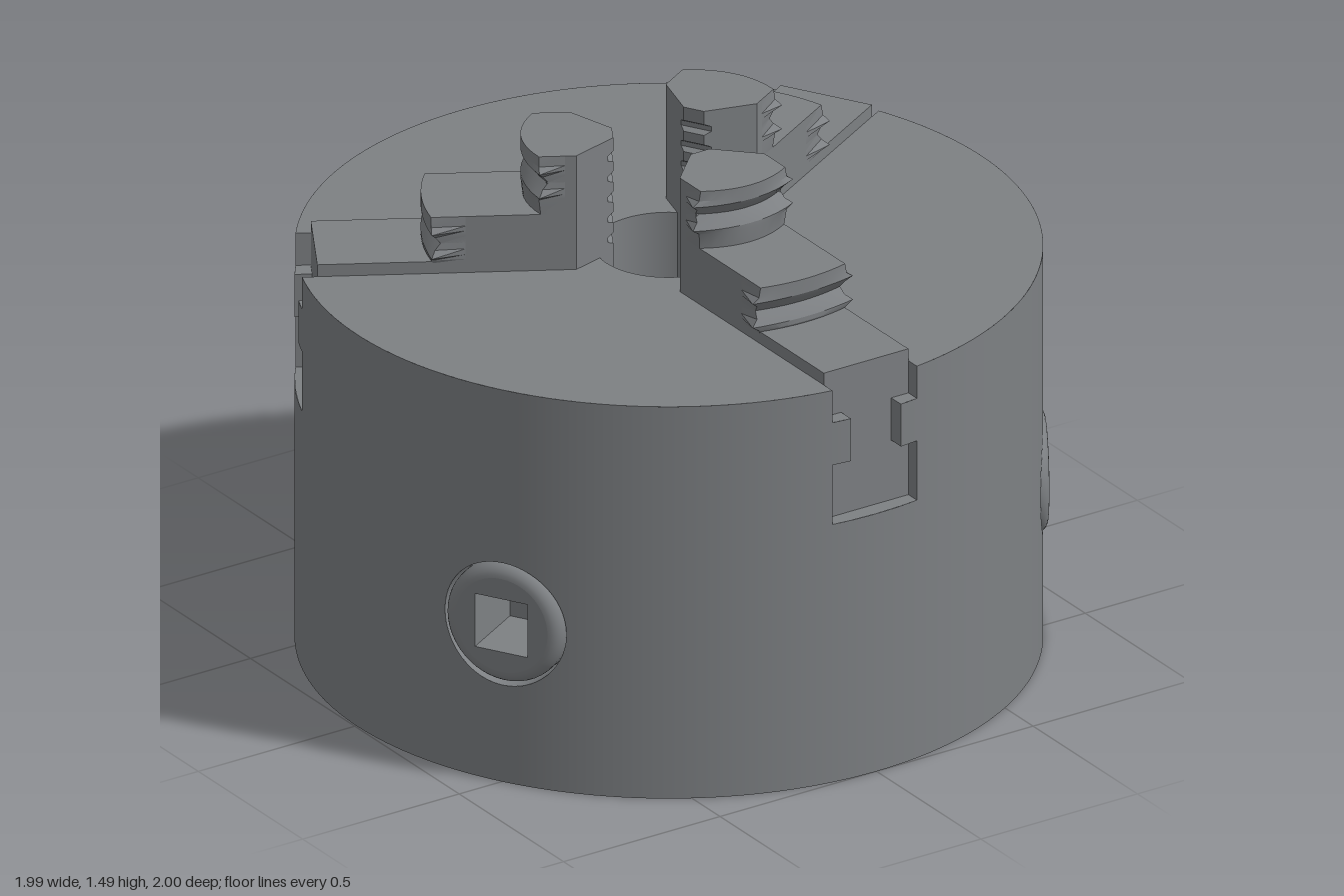
import * as THREE from 'three';
import { toCreasedNormals } from 'three/addons/utils/BufferGeometryUtils.js';

const R = 0.995, H = 1.155, BORE = 0.2;        // body
const HW = 0.135, NECK = 0.08;                 // slot half widths
const S0 = 0.76, S1 = 0.935, S2 = 1.06;        // slot heights
const PY = 0.465, PR = 0.18;                   // pinion pocket
const THIRD = Math.PI * 2 / 3;

const steel = new THREE.MeshStandardMaterial({ color: 0x7d8083, side: THREE.DoubleSide });
steel.name = 'steel grey';

function mesh(geometry, name) {
  const m = new THREE.Mesh(geometry, steel);
  m.name = name;
  return m;
}

function fromTriangles(pos) {
  const g = new THREE.BufferGeometry();
  g.setAttribute('position', new THREE.Float32BufferAttribute(pos, 3));
  g.computeVertexNormals();
  return g;
}

const quad = (out, a, b, c, d) => out.push(...a, ...b, ...c, ...a, ...c, ...d);
const onBody = x => Math.sqrt(R * R - x * x);

// Stack of convex plan outlines [x, z], one for each height, closed by caps
function loft(rows) {
  const pos = [], n = rows[0].pts.length;
  const at = (r, i) => [r.pts[i % n][0], r.y, r.pts[i % n][1]];
  for (let k = 0; k < rows.length - 1; k++)
    for (let i = 0; i < n; i++)
      quad(pos, at(rows[k], i), at(rows[k], i + 1), at(rows[k + 1], i + 1), at(rows[k + 1], i));
  const low = rows[0], top = rows[rows.length - 1];
  for (let i = 1; i < n - 1; i++) {
    pos.push(...at(low, 0), ...at(low, i + 1), ...at(low, i));
    pos.push(...at(top, 0), ...at(top, i), ...at(top, i + 1));
  }
  return toCreasedNormals(fromTriangles(pos), 0.4);
}

// Inner walls of an opening: outline [x, y] swept along z
function liner(points, zIn, zOut) {
  const pos = [];
  for (let i = 0; i < points.length - 1; i++) {
    const [a, b] = [points[i], points[i + 1]];
    quad(pos, [...a, zIn], [...b, zIn], [...b, zOut(b[0])], [...a, zOut(a[0])]);
  }
  return toCreasedNormals(fromTriangles(pos), 0.4);
}

// One third of the outer wall, with the slot in the middle and half a pocket at each end
function wallGeometry() {
  const pos = [], nor = [], end = THIRD / 2;
  const aN = Math.asin(NECK / R), aS = Math.asin(HW / R), aH = end - Math.asin(PR / R);
  const h = a => Math.sqrt(Math.max(0, PR * PR - (R * Math.sin(end - a)) ** 2));
  const bands = [
    [0, aN, 3, [[() => 0, () => S0]]],
    [aN, aS, 2, [[() => 0, () => S0], [() => S1, () => S2]]],
    [aS, aH, 20, [[() => 0, () => H]]],
    [aH, end, 14, [[() => 0, a => PY - h(a)], [a => PY + h(a), () => H]]],
  ];
  for (const s of [1, -1]) for (const [from, to, n, spans] of bands) for (let i = 0; i < n; i++) {
    const f = k => from + (to - from) * (n === 14 ? 1 - Math.cos(k / n * Math.PI / 2) : k / n);
    const [a, b] = s > 0 ? [f(i), f(i + 1)] : [f(i + 1), f(i)];
    const p = (t, y) => [s * R * Math.sin(t), y, R * Math.cos(t)];
    const d = t => [s * Math.sin(t), 0, Math.cos(t)];
    for (const [lo, hi] of spans) {
      quad(pos, p(a, lo(a)), p(b, lo(b)), p(b, hi(b)), p(a, hi(a)));
      quad(nor, d(a), d(b), d(b), d(a));
    }
  }
  const g = new THREE.BufferGeometry();
  g.setAttribute('position', new THREE.Float32BufferAttribute(pos, 3));
  g.setAttribute('normal', new THREE.Float32BufferAttribute(nor, 3));
  return g;
}

// Top face with a bore and a notch at the outer end of each slot
function topGeometry() {
  const pts = [], aS = Math.asin(HW / R);
  for (let k = 0; k < 3; k++) {
    const add = (x, z) => {
      const c = Math.cos(k * THIRD), s = Math.sin(k * THIRD);
      pts.push(new THREE.Vector2(x * c + z * s, x * s - z * c));
    };
    add(-HW, onBody(HW)); add(-HW, 0.9); add(HW, 0.9);
    for (let i = 0; i < 40; i++) {
      const a = aS + (THIRD - 2 * aS) * i / 40;
      add(R * Math.sin(a), R * Math.cos(a));
    }
  }
  const shape = new THREE.Shape(pts);
  shape.holes.push(new THREE.Path().absarc(0, 0, BORE, 0, Math.PI * 2, true));
  return new THREE.ShapeGeometry(shape, 32).rotateX(-Math.PI / 2).translate(0, H, 0);
}

// Grooved step face: rows are [drop from the top, groove depth, side overhang]
function ribbedStep(top, bottom, mid, sag) {
  const rows = [[top - bottom, 0.005, 0], [0.125, 0, 0.005], [0.112, 0, 0.025], [0.095, 0.01, 0.005],
    [0.077, 0.025, 0], [0.058, 0.01, 0.005], [0.042, 0, 0.025], [0.028, 0, 0.005], [0, 0, 0]];
  return loft(rows.map(([drop, groove, over]) => {
    const pts = [[-HW, mid - 0.11]];
    for (let i = 0; i <= 10; i++) {
      const u = i / 5 - 1;
      pts.push([u * (HW + over), mid - groove - sag * u * u]);
    }
    pts.push([HW, mid - 0.11]);
    return { y: top - drop, pts };
  }));
}

function createJaw() {
  const jaw = new THREE.Group();
  jaw.name = 'jaw';
  // T-shaped guide and base slab
  const half = [[HW, S0], [HW, S1], [NECK, S1], [NECK, S2], [HW, S2], [HW, 1.19]];
  const outline = [...half, ...half.map(([x, y]) => [-x, y]).reverse()];
  const guide = new THREE.Shape(outline.map(p => new THREE.Vector2(...p)));
  const guideGeo = new THREE.ExtrudeGeometry(guide, { depth: 0.645, bevelEnabled: false });
  jaw.add(mesh(guideGeo.translate(0, 0, 0.3), 'jawGuide'));
  // Gripping column with a serrated tip
  const plan = d => [[-0.03 - d, 0.15 + d], [-HW, 0.255], [-HW, 0.335], [HW, 0.335], [HW, 0.255], [0.03 + d, 0.15 + d]];
  const rows = [{ y: S0, pts: plan(0) }];
  for (let i = 0; i < 5; i++) {
    const y = 1.195 + i * 0.06;
    for (const [dy, d] of [[-0.016, 0], [-0.007, 0.015], [0.007, 0.015], [0.016, 0]])
      rows.push({ y: y + dy, pts: plan(d) });
  }
  rows.push({ y: 1.49, pts: plan(0) });
  jaw.add(mesh(loft(rows), 'gripColumn'));
  // Lower step and the two ribbed faces
  const step = new THREE.BoxGeometry(HW * 2, 0.17, 0.31).translate(0, 1.235, 0.455);
  jaw.add(mesh(step, 'lowerStep'));
  jaw.add(mesh(ribbedStep(1.32, 1.185, 0.66, 0.018), 'lowerRibs'));
  jaw.add(mesh(ribbedStep(1.49, 1.32, 0.395, 0.04), 'upperRibs'));
  return jaw;
}

function createPinion() {
  const pinion = new THREE.Group();
  pinion.name = 'pinion';
  const face = 1.005, q = 0.078, r = 0.173, f = 0.036;
  const disc = new THREE.Shape().absarc(0, 0, r - f, 0, Math.PI * 2);
  const square = [[-q, -q], [-q, q], [q, q], [q, -q], [-q, -q]];
  disc.holes.push(new THREE.Path(square.map(p => new THREE.Vector2(...p))));
  pinion.add(mesh(new THREE.ShapeGeometry(disc, 24).translate(0, PY, face), 'pinionFace'));
  // Rounded rim
  const rim = [new THREE.Vector2(r, 0.85)];
  for (let i = 0; i <= 6; i++) {
    const a = i / 6 * Math.PI / 2;
    rim.push(new THREE.Vector2(r - f + f * Math.cos(a), face - f + f * Math.sin(a)));
  }
  pinion.add(mesh(new THREE.LatheGeometry(rim, 48).rotateX(Math.PI / 2).translate(0, PY, 0), 'pinionRim'));
  // Square key socket
  pinion.add(mesh(liner(square, face - 0.21, () => face).translate(0, PY, 0), 'socketWalls'));
  pinion.add(mesh(new THREE.PlaneGeometry(2 * q, 2 * q).translate(0, PY, face - 0.21), 'socketFloor'));
  // Pocket around the pinion
  const circle = [];
  for (let i = 0; i <= 48; i++) {
    const a = -i / 48 * Math.PI * 2;
    circle.push([PR * Math.cos(a), PY + PR * Math.sin(a)]);
  }
  pinion.add(mesh(liner(circle, 0.87, onBody), 'pocketWall'));
  const floor = new THREE.RingGeometry(0.16, PR, 48).translate(0, PY, 0.87);
  pinion.add(mesh(floor, 'pocketFloor'));
  return pinion;
}

export function createModel() {
  const model = new THREE.Group();
  model.name = 'threeJawChuck';
  // Body faces and bore
  model.add(mesh(topGeometry(), 'bodyTop'));
  model.add(mesh(new THREE.RingGeometry(BORE, R, 96).rotateX(Math.PI / 2), 'bodyBottom'));
  const bore = new THREE.CylinderGeometry(BORE, BORE, H, 64, 1, true).translate(0, H / 2, 0);
  model.add(mesh(bore, 'bore'));
  // Slot, jaw and pinion repeat every third of a turn
  const right = [[NECK, S0], [HW, S0], [HW, S1], [NECK, S1], [NECK, S2], [HW, S2], [HW, H]];
  const slot = [...right.map(([x, y]) => [-x, y]).reverse(), [0, S0], ...right];
  for (let k = 0; k < 3; k++) {
    const sector = new THREE.Group();
    sector.name = 'sector';
    const pinion = createPinion();
    pinion.rotation.y = THIRD / 2;
    sector.add(mesh(wallGeometry(), 'bodyWall'), mesh(liner(slot, 0.9, onBody), 'slotWalls'), createJaw(), pinion);
    sector.rotation.y = k * THIRD;
    model.add(sector);
  }
  model.position.z = 0.005;
  const root = new THREE.Group();
  root.name = 'chuck';
  root.add(model);
  return root;
}
